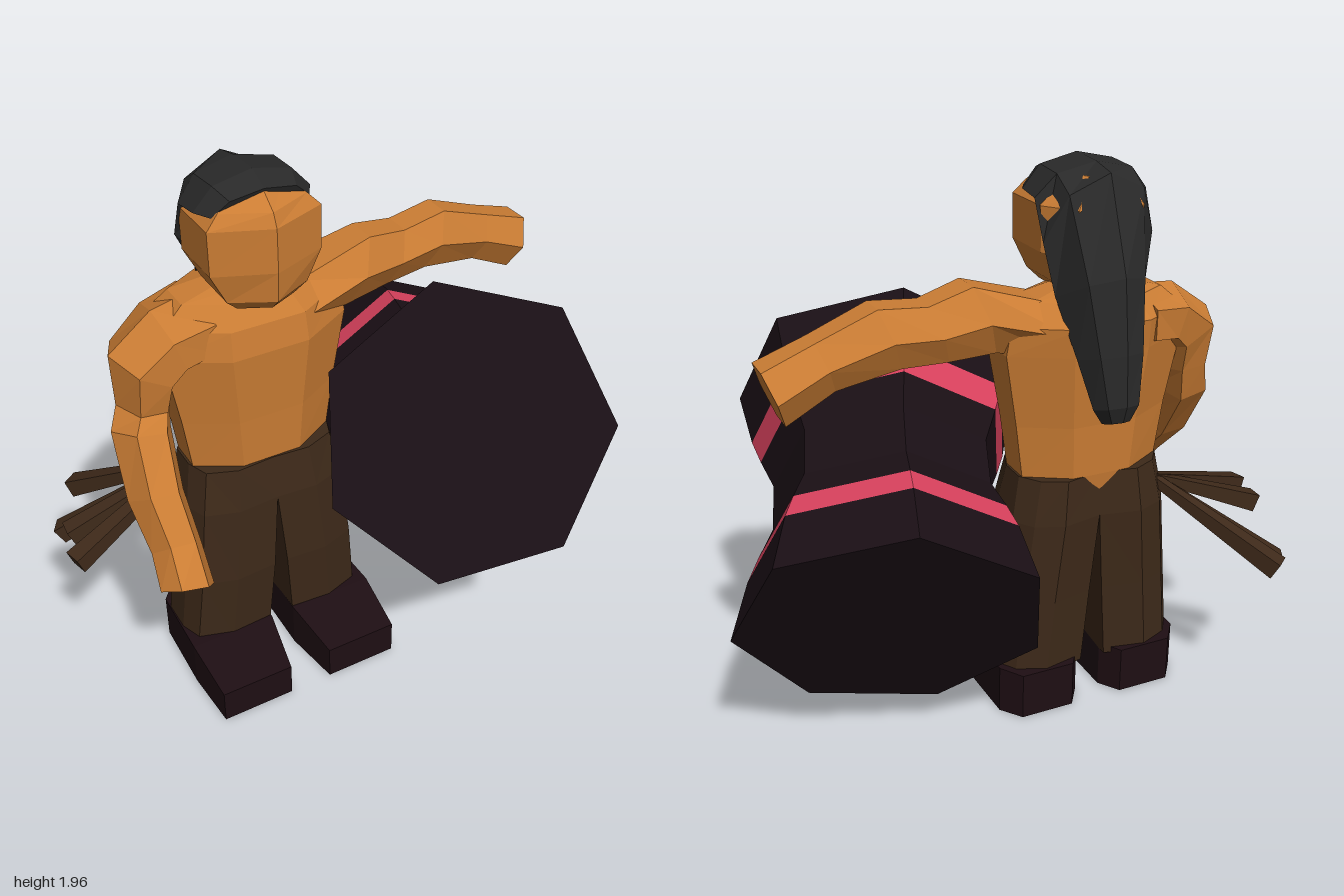
import * as THREE from 'three';

const mat = (color) => new THREE.MeshStandardMaterial({ color, flatShading: true });
const V = (x, y, z) => new THREE.Vector3(x, y, z);

// Polygon ring spanned by u and v. cornered: a corner sits on +v; otherwise flats touch u and v.
function ring(c, u, v, n = 8, cornered = false) {
  const k = cornered ? 1 : 1 / Math.cos(Math.PI / n);
  return Array.from({ length: n }, (_, i) => {
    const a = ((i + (cornered ? 0 : 0.5)) / n) * Math.PI * 2;
    return c.clone().addScaledVector(v, k * Math.cos(a)).addScaledVector(u, k * Math.sin(a));
  });
}

// Horizontal eight-sided ring from half width and half depth
const flat = (x, y, z, hx, hz) => ring(V(x, y, z), V(hx, 0, 0), V(0, 0, hz));

// Ring symmetric across x from half an outline: first point on the axis, the rest mirrored
function mirrored(half, place) {
  const other = half.slice(1).reverse().map(([x, d]) => [-x, d]);
  return [...half, ...other].map(([x, d]) => place(x, d));
}

// Faceted skin through rings, capped at both ends and wound outward
function loft(rings) {
  const tris = [], n = rings[0].length;
  for (let s = 0; s + 1 < rings.length; s++) {
    for (let i = 0; i < n; i++) {
      const j = (i + 1) % n, a = rings[s], b = rings[s + 1];
      tris.push([a[i], a[j], b[j]], [a[i], b[j], b[i]]);
    }
  }
  const cap = (r, flip) => {
    for (let i = 1; i + 1 < n; i++) tris.push(flip ? [r[0], r[i + 1], r[i]] : [r[0], r[i], r[i + 1]]);
  };
  cap(rings[0], true);
  cap(rings[rings.length - 1], false);
  let volume = 0;
  for (const [a, b, c] of tris) volume += a.dot(b.clone().cross(c));
  if (volume < 0) tris.forEach((t) => t.reverse());
  return new THREE.BufferGeometry().setFromPoints(tris.flat());
}

export function createModel() {
  const root = new THREE.Group();
  const skin = mat(0xcb7d34), hairMat = mat(0x292929), cloth = mat(0x3d2919);
  const dark = mat(0x1a0f15), leather = mat(0x1e0e13), red = mat(0xdb425e), wood = mat(0x3f2a1a);
  const add = (name, rings, material, parent = root) => {
    const g = loft(rings);
    g.computeVertexNormals();
    const m = new THREE.Mesh(g, material);
    m.name = name;
    parent.add(m);
  };
  const cx = -0.285;

  // Torso, shoulders and neck
  add('torso', [
    flat(cx, 0.84, -0.14, 0.24, 0.14),
    flat(cx, 0.91, -0.14, 0.26, 0.15),
    flat(cx, 1.1, -0.14, 0.285, 0.16),
    flat(cx, 1.36, -0.145, 0.33, 0.185),
    flat(cx, 1.46, -0.16, 0.32, 0.185),
    flat(cx, 1.53, -0.16, 0.24, 0.14),
    flat(cx, 1.56, -0.15, 0.12, 0.09),
  ], skin);
  add('neck', [flat(cx, 1.48, -0.12, 0.12, 0.1), flat(cx, 1.64, -0.1, 0.09, 0.09)], skin);

  // Head with a ridge down the middle of the face [y, z, half width, half depth]
  const headHalf = [[0, 1], [1, 0.6], [1, -0.45], [0.6, -1]];
  add('head', [
    [1.535, -0.06, 0.1, 0.12], [1.575, -0.08, 0.14, 0.18], [1.68, -0.09, 0.192, 0.2],
    [1.83, -0.09, 0.193, 0.2], [1.875, -0.09, 0.15, 0.18], [1.92, -0.1, 0.09, 0.13],
  ].map(([y, z, hx, hz]) => mirrored(headHalf, (x, d) => V(cx + x * hx, y, z + d * hz))), skin);

  // Hair: cap over the crown, then a long tail down the back [x, y, z, half width, vy, vz]
  const hairHalf = [[0, 1], [0.67, 0.6], [1, -0.4], [0.6, -1]];
  add('hair', [
    [cx, 1.88, 0.015, 0.165, 0.05, 0.02],
    [cx, 1.89, -0.05, 0.198, 0.073, 0.005],
    [cx, 1.88, -0.16, 0.203, 0.075, -0.02],
    [cx, 1.78, -0.23, 0.2, 0.155, -0.045],
    [-0.255, 1.58, -0.315, 0.15, 0.065, -0.13],
    [-0.25, 1.38, -0.4, 0.115, 0.025, -0.085],
    [-0.25, 1.22, -0.445, 0.083, 0.015, -0.05],
    [-0.25, 1.165, -0.44, 0.05, 0.01, -0.035],
  ].map(([x, y, z, hx, vy, vz]) => mirrored(hairHalf, (a, d) => V(x + a * hx, y + d * vy, z + d * vz))), hairMat);

  // Raised left arm reaching over the drum [x, y, z, half height, half depth]
  add('leftArm', [
    [-0.16, 1.42, -0.15, 0.1, 0.14], [0.11, 1.485, -0.14, 0.115, 0.1],
    [0.28, 1.47, -0.175, 0.095, 0.09], [0.45, 1.485, -0.195, 0.1, 0.09],
    [0.66, 1.43, -0.21, 0.08, 0.08], [0.83, 1.36, -0.225, 0.09, 0.09],
  ].map(([x, y, z, hy, hz]) => ring(V(x, y, z), V(0, 0, hz), V(hy * 0.35, hy, 0), 6)), skin);

  // Lowered right arm, forearm swung forward [x, y, z, ux, uy, tilt, half depth]
  add('rightArm', [
    [-0.45, 1.43, -0.17, 0, 0.09, 0, 0.16], [-0.58, 1.41, -0.145, -0.03, 0.09, 0, 0.145],
    [-0.67, 1.34, -0.13, -0.09, 0.055, 0, 0.13], [-0.68, 1.21, -0.12, -0.08, 0.01, 0, 0.1],
    [-0.71, 1.13, -0.08, -0.088, 0.02, 0.04, 0.105], [-0.73, 0.95, 0.05, -0.083, 0.01, 0.06, 0.09],
    [-0.72, 0.81, 0.17, -0.075, 0.01, 0.06, 0.065], [-0.73, 0.715, 0.265, -0.08, 0.02, 0.05, 0.07],
  ].map(([x, y, z, ux, uy, tilt, hz]) => ring(V(x, y, z), V(ux, uy, 0), V(0, tilt, hz), 6)), skin);

  // Mirrored trouser legs joined above the crotch, and shoes
  for (const side of [1, -1]) {
    const label = side > 0 ? 'left' : 'right';
    // [y, inner, outer, front z, back z]
    add(label + 'Leg', [
      [0.16, 0.048, 0.358, 0.04, -0.305], [0.45, 0.025, 0.33, 0.058, -0.31],
      [0.75, 0, 0.298, 0.05, -0.32], [0.91, 0, 0.268, 0.025, -0.305],
    ].map(([y, a, b, f, k]) => [
      [a, f - 0.01], [a + 0.5 * (b - a), f], [b - 0.03, f - 0.04], [b, f - 0.12],
      [b, k + 0.11], [b - 0.05, k + 0.04], [a + 0.5 * (b - a), k], [a, k + 0.03],
    ].map(([x, z]) => V(cx + side * x, y, z))), cloth);
    // [x, z, half width, height]
    add(label + 'Shoe', [
      [0.2, -0.315, 0.1, 0.175], [0.203, -0.24, 0.155, 0.18],
      [0.205, 0.04, 0.16, 0.18], [0.215, 0.26, 0.135, 0.13],
    ].map(([x, z, hx, h]) => ring(V(cx + side * x, h / 2 + 0.005, z), V(hx, 0, 0), V(0, h / 2, 0), 4)), leather);
  }

  // Fan of sticks tucked in at the right hip
  const sticks = new THREE.Group();
  sticks.name = 'sticks';
  root.add(sticks);
  const base = V(-0.53, 0.82, -0.22);
  [[-0.99, 0.65, -0.1], [-0.96, 0.65, -0.25], [-0.94, 0.5, -0.45], [-0.83, 0.57, -0.6]].forEach((t, i) => {
    const tip = V(...t), dir = tip.clone().sub(base).normalize();
    const u = V(0, 1, 0).cross(dir).normalize(), v = dir.clone().cross(u);
    const at = (p, r) => ring(p, u.clone().multiplyScalar(r), v.clone().multiplyScalar(r), 4);
    add('stick' + (i + 1), [at(base, 0.015), at(tip, 0.033)], wood, sticks);
  });

  // Seven-sided waisted drum on a slanted axis [distance along axis, radius]
  const drum = new THREE.Group();
  drum.name = 'drum';
  root.add(drum);
  const start = V(0.255, 1.066, 0.405), axis = V(-0.28, 0.477, 0.833).normalize();
  const up = V(0, 0.868, -0.497).normalize(), across = up.clone().cross(axis);
  const hoop = ([t, r]) => ring(start.clone().addScaledVector(axis, -t),
    across.clone().multiplyScalar(r), up.clone().multiplyScalar(r), 7, true);
  const parts = [
    ['frontShell', dark, [[0, 0.52], [0.21, 0.47]]],
    ['frontBand', red, [[0.21, 0.47], [0.3, 0.437]]],
    ['waist', dark, [[0.3, 0.437], [0.41, 0.39], [0.59, 0.39], [0.7, 0.437]]],
    ['backBand', red, [[0.7, 0.437], [0.79, 0.47]]],
    ['backShell', dark, [[0.79, 0.47], [1, 0.517]]],
  ];
  for (const [name, material, profile] of parts) add(name, profile.map(hoop), material, drum);

  return root;
}
